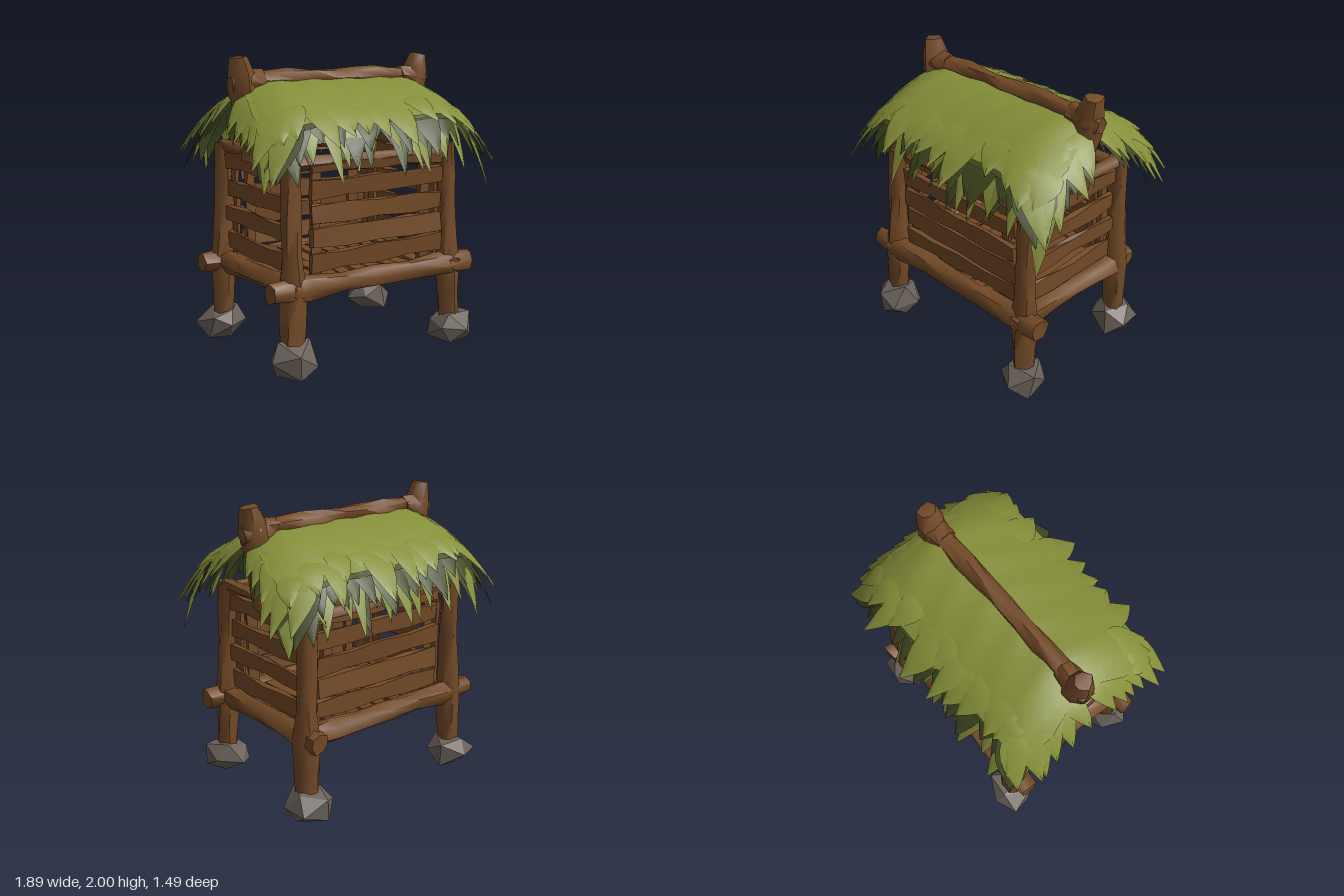
import * as THREE from 'three';
import { mergeGeometries, toCreasedNormals } from 'three/addons/utils/BufferGeometryUtils.js';

const mat = (name, color, extra = {}) => {
  const m = new THREE.MeshStandardMaterial({ color, ...extra });
  m.name = name;
  return m;
};
const V = (x, y, z) => new THREE.Vector3(x, y, z);

export function createModel() {
  const model = new THREE.Group();
  model.name = 'thatchedHut';
  const wood = mat('wood', 0x734a27);
  const stone = mat('stone', 0x6b615a, { flatShading: true });
  const green = mat('leafGreen', 0x858e39, { side: THREE.DoubleSide });
  const darkGreen = mat('leafShade', 0x424b22, { side: THREE.DoubleSide });

  let seed = 7;
  const rand = (a = 0, b = 1) => {
    seed = (seed * 16807) % 2147483647;
    return a + (b - a) * (seed / 2147483647);
  };
  const add = (name, geo, material) => {
    const mesh = new THREE.Mesh(geo, material);
    mesh.name = name;
    model.add(mesh);
    return mesh;
  };
  // Same offset for the same position, so seams stay closed
  const roughen = (geo, amount) => {
    const p = geo.attributes.position;
    for (let i = 0; i < p.count; i++) {
      const [x, y, z] = [p.getX(i), p.getY(i), p.getZ(i)];
      p.setXYZ(i,
        x + amount * Math.sin(x * 37 + y * 53 + z * 71),
        y + amount * Math.sin(x * 61 + y * 29 + z * 43 + 1),
        z + amount * Math.sin(x * 47 + y * 67 + z * 31 + 2));
    }
    return geo;
  };

  // Hewn log from a to b, with radii spaced evenly along it
  const log = (name, a, b, radii) => {
    const dir = b.clone().sub(a), len = dir.length(), n = radii.length - 1;
    const geo = new THREE.CylinderGeometry(1, 1, len, 7, n);
    const p = geo.attributes.position;
    for (let i = 0; i < p.count; i++) {
      const r = radii[Math.round((p.getY(i) / len + 0.5) * n)];
      p.setXYZ(i, p.getX(i) * r, p.getY(i), p.getZ(i) * r);
    }
    geo.applyQuaternion(new THREE.Quaternion().setFromUnitVectors(V(0, 1, 0), dir.normalize()));
    geo.translate((a.x + b.x) / 2, (a.y + b.y) / 2, (a.z + b.z) / 2);
    return add(name, toCreasedNormals(roughen(geo, 0.007), 1.0), wood);
  };
  // Uneven board of size w, h, d around a centre
  const plank = (name, w, h, d, c, tilt = 0) => {
    const geo = new THREE.BoxGeometry(w, h, d, w > 0.3 ? 4 : 1, h > 0.3 ? 4 : 1, d > 0.3 ? 4 : 1);
    if (w > d) geo.rotateZ(tilt); else geo.rotateX(tilt);
    geo.translate(c.x, c.y, c.z);
    return add(name, toCreasedNormals(roughen(geo, 0.009), 0.5), wood);
  };

  // Corner posts on angular stones
  for (const sx of [-1, 1]) for (const sz of [-1, 1]) {
    log('cornerPost', V(sx * 0.645, 0.12, sz * 0.475), V(sx * 0.62, 1.4, sz > 0 ? 0.425 : -0.46),
      [0.075, 0.08, 0.092, 0.07, 0.066, 0.064, 0.066]);
    const geo = new THREE.IcosahedronGeometry(0.175, 0);
    geo.scale(1, 0.8, 1).rotateY(sx * 0.7 + sz * 0.4);
    geo.translate(sx * 0.645, 0.1, sz * 0.48);
    roughen(geo, 0.02);
    const p = geo.attributes.position;
    for (let i = 0; i < p.count; i++) p.setY(i, Math.max(0.005, p.getY(i)));
    add('footStone', geo, stone);
  }

  // Floor frame: beams cross at the corners, one end running past each post
  log('frontFloorBeam', V(-0.81, 0.56, 0.48), V(0.8, 0.56, 0.48), [0.065, 0.085, 0.066, 0.07, 0.066, 0.085, 0.072]);
  log('backFloorBeam', V(-0.81, 0.56, -0.47), V(0.69, 0.56, -0.47), [0.068, 0.085, 0.066, 0.07, 0.066, 0.085, 0.05]);
  log('leftFloorBeam', V(0.63, 0.56, 0.555), V(0.63, 0.56, -0.6), [0.045, 0.088, 0.07, 0.07, 0.07, 0.088, 0.068]);
  log('rightFloorBeam', V(-0.63, 0.56, 0.555), V(-0.63, 0.56, -0.54), [0.045, 0.088, 0.07, 0.07, 0.07, 0.088, 0.045]);
  // Wall plates
  for (const s of [-1, 1]) {
    log('longWallPlate', V(-0.64, 1.345, s * 0.44), V(0.64, 1.345, s * 0.44), [0.05, 0.042, 0.045, 0.05]);
    log('shortWallPlate', V(s * 0.62, 1.375, 0.45), V(s * 0.62, 1.375, -0.47), [0.045, 0.038, 0.04, 0.045]);
  }
  for (let i = 0; i < 10; i++)
    plank('floorPlank', 0.1, 0.03, 0.94, V(-0.54 + i * 0.12 + rand(-0.01, 0.01), 0.585, 0), rand(-0.015, 0.015));

  // Slatted walls with upright battens behind
  const longSlats = [[0.715, 0.12], [0.865, 0.13], [1.02, 0.12], [1.185, 0.115], [1.315, 0.06]];
  const sideSlats = [[0.715, 0.12], [0.905, 0.105], [1.085, 0.11], [1.275, 0.11]];
  for (const s of [-1, 1]) {
    for (const [y, h] of longSlats)
      plank('longWallSlat', 1.05, h, 0.035, V(0.03, y, s * 0.46), rand(-0.022, 0.022));
    for (const [y, h] of sideSlats)
      plank('sideWallSlat', 0.035, h, 0.8, V(s * 0.62, y, -0.01), rand(-0.005, 0.025));
    for (const e of [-1, 1]) {
      plank('longWallBatten', 0.075, 0.76, 0.03, V(e * 0.44, 0.97, s * 0.425));
      plank('sideWallBatten', 0.03, 0.76, 0.07, V(s * 0.585, 0.97, e * 0.36));
    }
  }

  // Ridge pole on two leaning king posts
  for (const s of [-1, 1]) {
    log('kingPost', V(s * 0.625, 1.33, -0.03), V(s * 0.725, 1.995, -0.03),
      [0.085, 0.082, 0.08, 0.085, 0.1, 0.092, 0.06]);
    log('ridgeKnot', V(s * 0.55, 1.84, -0.03), V(s * 0.79, 1.82, -0.03), [0.07, 0.085, 0.095, 0.05]);
  }
  log('ridgePole', V(-0.7, 1.845, -0.03), V(0.7, 1.845, -0.03),
    [0.06, 0.062, 0.068, 0.058, 0.06, 0.062, 0.072, 0.06, 0.064]);

  // Roof surface: slopes from the ridge and droops at the gables
  const roofPoint = (x, d, side, lift) => {
    const over = Math.max(0, Math.abs(x) - 0.5);
    return [x, 1.84 + lift - 0.6 * d * d - 0.08 * d - 1.4 * over * over, -0.015 + side * d];
  };
  // Grid of points, rows by columns, as an indexed surface
  const gridSurface = (rows, cols, point) => {
    const pos = [], idx = [];
    for (let i = 0; i <= rows; i++) for (let j = 0; j <= cols; j++) {
      pos.push(...point(i / rows, j / cols));
      if (i < rows && j < cols) {
        const a = i * (cols + 1) + j, b = a + cols + 1;
        idx.push(a, b, a + 1, b, b + 1, a + 1);
      }
    }
    const geo = new THREE.BufferGeometry();
    geo.setAttribute('position', new THREE.Float32BufferAttribute(pos, 3));
    geo.setIndex(idx);
    geo.computeVertexNormals();
    return geo;
  };
  const widths = [0.7, 0.95, 1, 0.8, 0.45, 0];
  // Pointed leaf rising out of the roof, drooping towards its tip
  const leaf = (x, d, side, angle, len, w, lift, droop) => {
    const bend = rand(-0.04, 0.04), sn = Math.sin(angle), cs = Math.cos(angle);
    return gridSurface(5, 2, (t, u) => {
      const across = (u - 0.5) * 2 * w * widths[Math.round(t * 5)] + bend * t * t;
      return roofPoint(x + sn * len * t + cs * across, Math.max(0.02, d + cs * len * t - sn * across),
        side, lift * Math.min(1, t * 2.5) - 0.012 * (1 - t) - droop * t * t + (u === 0.5 ? 0.02 * t : 0));
    });
  };

  for (const side of [-1, 1]) {
    const top = [], under = [];
    // Thatch bed with a dark lining below it
    const bed = (lift, size) => gridSurface(8, 16, (t, u) => {
      const x = (u - 0.5) * 2 * (0.72 + 0.08 * Math.min(1, t * 2)) * size;
      return roofPoint(x, 0.03 + t * 0.52 * size, side, lift + 0.006 * Math.sin(x * 23 + t * 5));
    });
    top.push(bed(0, 1));
    under.push(bed(-0.025, 1.02));
    // Eave leaves in rows, shorter towards the corners
    const row = (list, n, span, d, len, w, lift, droop) => {
      for (let i = 0; i < n; i++) {
        const k = (i / (n - 1) - 0.5) * 2;
        const fan = 0.5 * Math.sign(k) * Math.abs(k) ** 3;
        list.push(leaf(k * span + rand(-0.03, 0.03), d + rand(-0.03, 0.03), side,
          fan + rand(-0.28, 0.28), len * rand(0.75, 1.2) * (1 - 0.18 * k ** 4), w * rand(0.8, 1.2),
          lift + rand(0, 0.012), droop * rand(0.6, 1.3)));
      }
    };
    row(top, 13, 0.7, 0.37, 0.31, 0.095, 0.012, 0.03);
    row(under, 13, 0.7, 0.42, 0.22, 0.09, -0.015, 0.13);
    row(top, 14, 0.73, 0.41, 0.26, 0.075, -0.035, 0.22);
    row(under, 14, 0.72, 0.38, 0.24, 0.085, -0.055, 0.2);
    // Gable leaves pointing outwards
    for (const e of [-1, 1]) {
      for (let i = 0; i < 6; i++) {
        const d = 0.08 + i * 0.08;
        top.push(leaf(e * 0.64, d, side, e * (1.45 - i * 0.07 + rand(-0.2, 0.2)),
          0.24 + 0.03 * Math.min(i, 2) + rand(-0.04, 0.04), 0.085, 0.012, 0.04 + rand(0, 0.06)));
        under.push(leaf(e * 0.62, d + 0.03, side, e * (1.35 - i * 0.07 + rand(-0.15, 0.15)),
          0.25, 0.08, -0.03, 0.1 + rand(0, 0.05)));
      }
    }
    add('thatchTop', mergeGeometries(top), green);
    add('thatchUnderside', mergeGeometries(under), darkGreen);
  }
  return model;
}
